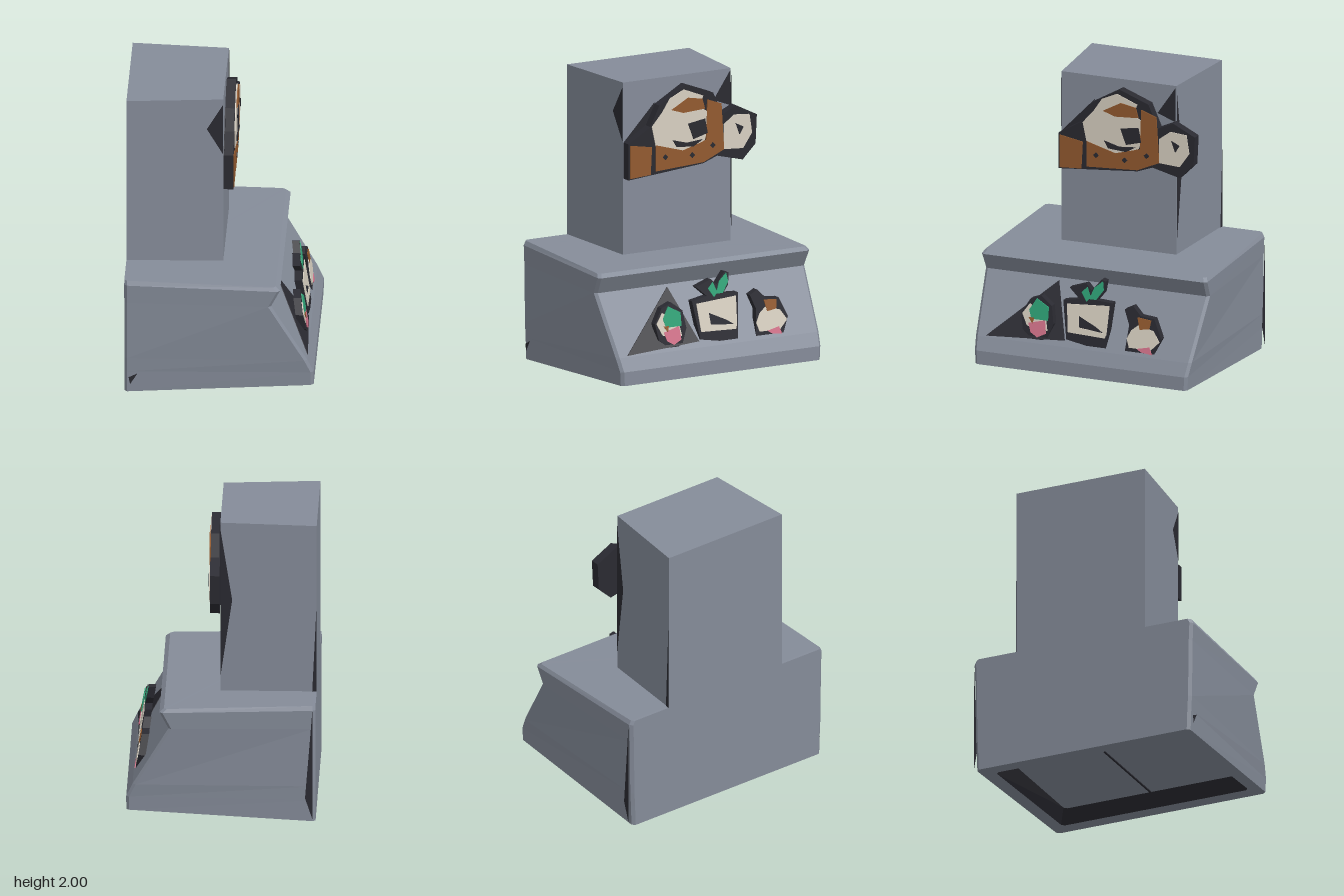
import * as THREE from 'three';

const material = (name, color, side = THREE.FrontSide) => {
  const m = new THREE.MeshStandardMaterial({ color, side });
  m.name = name;
  return m;
};

export function createModel() {
  const steel = material('steel', 0x858c99);
  const dark = material('charcoal', 0x2a2a31, THREE.DoubleSide);
  const cream = material('cream', 0xd8d0c2);
  const brown = material('brown', 0x935a2f);
  const green = material('green', 0x2fa377);
  const pink = material('pink', 0xd6758c);

  const model = new THREE.Group();
  model.name = 'rangeHood';

  const add = (parent, name, geometry, mat) => {
    const mesh = new THREE.Mesh(geometry, mat);
    mesh.name = name;
    parent.add(mesh);
    return mesh;
  };

  // Flat-faced surface from a list of triangle corners
  const surface = (points) => {
    const g = new THREE.BufferGeometry();
    g.setAttribute('position', new THREE.Float32BufferAttribute(points.flat(), 3));
    g.computeVertexNormals();
    return g;
  };

  // Skin over a stack of rings, with optional end caps
  const loft = (rings, capStart, capEnd) => {
    const tris = [];
    const n = rings[0].length;
    for (let i = 0; i < rings.length - 1; i++) {
      for (let j = 0; j < n; j++) {
        const k = (j + 1) % n;
        const [a, b, c, d] = [rings[i][j], rings[i][k], rings[i + 1][k], rings[i + 1][j]];
        tris.push(a, b, c, a, c, d);
      }
    }
    const first = rings[0], last = rings[rings.length - 1];
    for (let j = 1; j < n - 1; j++) {
      if (capStart) tris.push(first[0], first[j + 1], first[j]);
      if (capEnd) tris.push(last[0], last[j], last[j + 1]);
    }
    return surface(tris);
  };

  // Chamfered rectangle: back/front x, half width at back/front, height at back/front
  const ring = (xb, xf, zb, zf, yb, yf, c = 0.02) => [
    [xb + c, yb, zb], [xf - c, yf, zf], [xf, yf, zf - c], [xf, yf, c - zf],
    [xf - c, yf, -zf], [xb + c, yb, -zb], [xb, yb, c - zb], [xb, yb, zb - c],
  ];

  // Canopy with a sloping front and an open recess underneath
  const ceiling = ring(-0.5, 0.46, 0.64, 0.64, 0.13, 0.15);
  const mouth = ring(-0.54, 0.53, 0.69, 0.69, 0.004, 0.062);
  add(model, 'canopy', loft([
    mouth,
    ring(-0.64, 0.635, 0.79, 0.775, 0, 0.065),
    ring(-0.64, 0.635, 0.795, 0.78, 0.15, 0.16),
    ring(-0.64, 0.592, 0.8, 0.79, 0.25, 0.25),
    ring(-0.64, 0.35, 0.805, 0.82, 0.66, 0.655),
    ring(-0.64, 0.41, 0.81, 0.825, 0.79, 0.77),
    ring(-0.64, 0.38, 0.795, 0.81, 0.82, 0.795),
  ], false, true), steel);
  add(model, 'recessWalls', loft([ceiling, mouth]), dark);
  add(model, 'filterPanel', loft([ceiling, ceiling], true), steel);
  const seam = add(model, 'filterSeam', new THREE.BoxGeometry(0.94, 0.008, 0.012), dark);
  seam.position.set(-0.02, 0.136, 0);
  seam.rotation.z = 0.02;

  // Chimney, slightly narrower at the front
  const flue = (y) => [[-0.64, y, 0.46], [0.01, y, 0.405], [0.01, y, -0.435], [-0.64, y, -0.49]];
  add(model, 'chimney', loft([flue(0.8), flue(1.995)], false, true), steel);

  // Dark corner patches on the sides, given as x, y pairs
  const sidePatch = (name, zAt, ...xy) =>
    add(model, name, surface(xy.map(([x, y]) => [x, y, zAt(x)])), dark);
  const flueLeft = (x) => 0.41 - 0.085 * (x - 0.01);
  const flueRight = (x) => -0.44 + 0.085 * (x - 0.01);
  sidePatch('chimneyLeftPatch', flueLeft, [0.01, 1.96], [-0.1, 1.78], [0.01, 1.59]);
  sidePatch('chimneyRightPatch', flueRight, [0.01, 1.95], [-0.07, 1.45], [0.01, 0.9]);
  sidePatch('chimneyRearPatch', flueRight, [-0.64, 1.45], [-0.61, 0.82], [-0.64, 0.82]);
  sidePatch('canopyRearPatch', () => -0.815, [-0.62, 0.8], [-0.57, 0.17], [-0.62, 0.02]);
  sidePatch('canopyLeftMark', () => 0.803, [-0.6, 0.06], [-0.55, 0.14], [-0.61, 0.11]);

  // Plate facing +x; outline in hundredths (sideways towards -z, then height)
  const plate = (parent, name, mat, x, depth, slope, ...outline) => {
    const shape = new THREE.Shape(outline.map(([u, y]) => new THREE.Vector2(u / 100, y / 100)));
    const g = new THREE.ExtrudeGeometry(shape, { depth, bevelEnabled: false });
    g.rotateY(Math.PI / 2);
    const p = g.attributes.position;
    for (let i = 0; i < p.count; i++) p.setX(i, p.getX(i) + x - slope * (p.getY(i) - 0.26));
    g.computeVertexNormals();
    return add(parent, name, g, mat);
  };
  const group = (name) => {
    const g = new THREE.Group();
    g.name = name;
    model.add(g);
    return g;
  };

  // Animal plaque on the chimney
  const animal = group('animalPlaque');
  const onHead = (name, mat, layer, ...pts) =>
    plate(animal, name, mat, 0.075 + 0.006 * layer, 0.008, 0, ...pts);
  plate(animal, 'plaqueBacking', dark, 0.012, 0.065, 0,
    [-40, 133], [-40, 158], [-23, 168], [-16, 182], [5, 194], [26, 186], [33, 170], [44, 175],
    [60, 167], [59, 147], [49, 137], [29, 142], [18, 138]);
  plate(animal, 'upperRightPatch', dark, 0.011, 0.004, 0, [43, 198], [30, 179], [43, 174]);
  plate(animal, 'upperLeftPatch', dark, 0.011, 0.004, 0, [-40, 158], [-16, 183], [-20, 165]);
  onHead('face', cream, 0, [-22, 168], [-14, 177], [-8, 186], [3, 191], [18, 185], [15, 178],
    [25, 171], [19, 154], [2, 148], [-19, 154]);
  onHead('lowerFur', brown, 0.5, [-19, 155], [2, 149], [20, 154], [21, 182], [32, 178], [34, 146],
    [18, 139], [-19, 137]);
  onHead('paw', brown, 0, [-39, 157], [-22, 154], [-23, 135], [-39, 134]);
  onHead('browFur', brown, 1, [-7, 178], [6, 185], [17, 183], [19, 176], [2, 175]);
  onHead('ear', cream, 0, [34, 163], [42, 169], [54, 168], [56, 155], [49, 145], [34, 146]);
  onHead('earSpot', dark, 1, [43, 163], [49, 160], [46, 155]);
  onHead('nose', dark, 1.2, [6, 167], [19, 169], [21, 159], [10, 156]);
  onHead('mouth', dark, 1.3, [-6, 157], [5, 154], [17, 155], [10, 151], [-3, 152]);
  for (const [u, y] of [[-12, 146], [9, 145], [25, 150]]) {
    onHead('furSpot', dark, 1.4, [u - 2, y], [u, y + 2], [u + 2, y], [u, y - 2]);
  }

  // Dark patch lying on the sloping front
  plate(model, 'frontPatch', dark, 0.59, 0.004, 0.593, [-71, 26], [-27, 64], [-14, 29]);

  // Leaning ornaments along the ledge
  const backing = (g, name, ...pts) => plate(g, name, dark, 0.53, 0.05, 0.17, ...pts);
  const paint = (g, name, mat, layer, ...pts) =>
    plate(g, name, mat, 0.578 + 0.003 * layer, 0.007, 0.17, ...pts);

  const berry = group('berryOrnament');
  backing(berry, 'berryBacking', [-47, 44], [-41, 54], [-33, 57], [-25, 51], [-23, 39], [-27, 29],
    [-35, 25], [-45, 33]);
  paint(berry, 'berryCream', cream, 0, [-46, 44], [-41, 51], [-29, 44], [-27, 34], [-42, 36]);
  paint(berry, 'berryLeaf', green, 1, [-41, 47], [-36, 55], [-27, 50], [-27, 41], [-39, 41]);
  paint(berry, 'berryFlesh', pink, 1, [-41, 38], [-29, 41], [-28, 32], [-34, 29], [-39, 32]);
  paint(berry, 'berrySeed', brown, 2, [-41, 42], [-37, 42], [-38, 38]);

  const pot = group('potOrnament');
  backing(pot, 'potBacking', [-17, 56], [0, 59], [19, 58], [16, 25], [-13, 30]);
  backing(pot, 'leafBacking', [-13, 65], [-1, 69], [3, 65], [10, 73], [13, 72], [12, 64], [6, 57],
    [-4, 57]);
  paint(pot, 'potFront', cream, 0, [-14, 54], [17, 56], [16, 36], [8, 41], [-5, 47], [-4, 37],
    [-12, 35]);
  paint(pot, 'potBase', cream, 0, [-12, 35], [-4, 39], [16, 37], [15, 34]);
  paint(pot, 'leftLeaf', green, 0, [-4, 63], [0, 67], [3, 60], [0, 57]);
  paint(pot, 'rightLeaf', green, 0, [2, 59], [5, 67], [11, 72], [12, 66], [7, 59]);

  const cake = group('cakeOrnament');
  backing(cake, 'cakeBacking', [28, 55], [34, 58], [40, 52], [50, 51], [56, 38], [51, 26], [30, 26],
    [32, 45]);
  paint(cake, 'cakeCream', cream, 0, [34, 42], [39, 46], [50, 43], [55, 36], [49, 30], [33, 30],
    [31, 36]);
  paint(cake, 'cakeTop', brown, 1, [38, 51], [48, 50], [47, 44], [40, 43]);
  paint(cake, 'cakeIcing', pink, 1, [39, 30], [48, 32], [50, 27], [42, 28]);

  return model;
}
